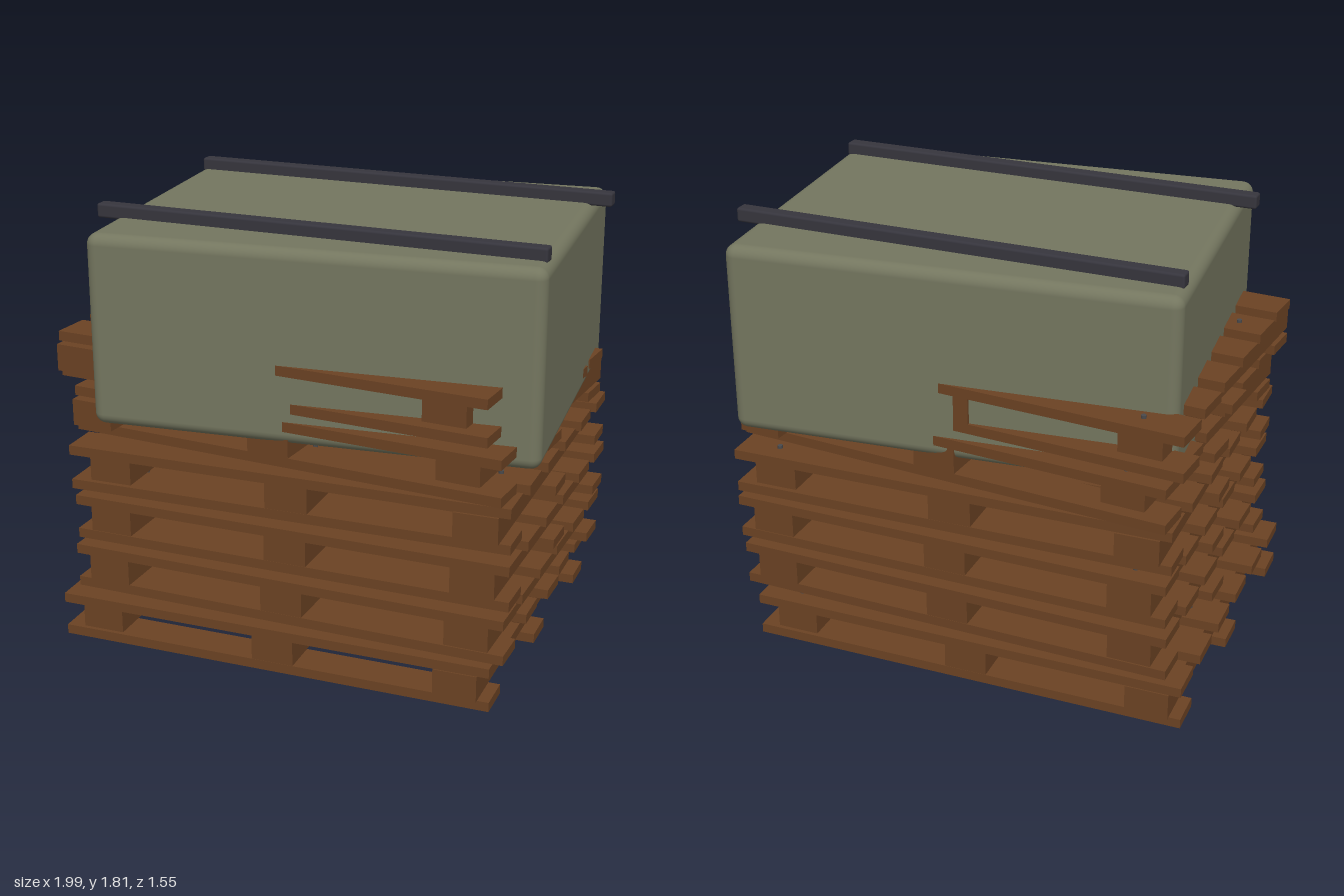
import * as THREE from 'three';
import { RoundedBoxGeometry } from 'three/addons/geometries/RoundedBoxGeometry.js';

const material = (name, color) => {
  const m = new THREE.MeshStandardMaterial({ color });
  m.name = name;
  return m;
};

export function createModel() {
  const wood = material('brown wood', 0x6b4223);
  const canvas = material('olive canvas', 0x74765f);
  const strapDark = material('dark strap', 0x36353d);
  const steel = material('nail steel', 0x4a4a4c);

  const model = new THREE.Group();
  model.name = 'palletStack';

  const add = (parent, name, geometry, mat, x, y, z, turn = 0) => {
    const mesh = new THREE.Mesh(geometry, mat);
    mesh.name = name;
    mesh.position.set(x, y, z);
    mesh.rotation.y = turn;
    parent.add(mesh);
  };

  const topBoard = new THREE.BoxGeometry(1.845, 0.04, 0.167);
  const bottomBoard = new THREE.BoxGeometry(1.845, 0.04, 0.157);
  const stringer = new THREE.BoxGeometry(0.178, 0.11, 1.38);
  const nail = new THREE.CylinderGeometry(0.011, 0.011, 0.012, 8);

  // One pallet: every plank is skewed about its own centre
  const pallet = (y, x, turn) => {
    const group = new THREE.Group();
    group.name = 'pallet';
    group.position.set(x, y, 0);
    for (const z of [-0.613, 0, 0.613]) add(group, 'bottomBoard', bottomBoard, wood, 0, 0.02, z, turn);
    for (const sx of [-0.773, 0, 0.773]) {
      add(group, 'stringer', stringer, wood, sx, 0.095, 0, turn);
      // Nail heads on every second board
      for (const z of [-0.617, -0.123, 0.37]) {
        add(group, 'nailHead', nail, steel,
          sx + z * Math.sin(turn), 0.196, z - sx * Math.sin(turn));
      }
    }
    for (let i = 0; i < 6; i++) {
      add(group, 'topBoard', topBoard, wood, 0, 0.17, (i - 2.5) * 0.247, turn);
    }
    model.add(group);
  };

  // Pallet stack: sideways shift and skew of each level
  [
    [-0.073, 0.021], [-0.013, -0.006], [0, 0.003],
    [-0.008, 0.026], [-0.014, -0.072], [-0.073, -0.07],
  ].forEach(([x, turn], i) => pallet(i * 0.2245, x, turn));

  // Covered load resting askew on the stack
  add(model, 'coveredLoad', new RoundedBoxGeometry(1.786, 0.772, 1.392, 4, 0.045), canvas,
    0.043, 1.379, 0, 0.096);

  // Two straps across the top
  for (const z of [-0.467, 0.465]) {
    add(model, 'strap', new RoundedBoxGeometry(1.845, 0.058, 0.06, 2, 0.01), strapDark, 0.043, 1.784, z);
  }

  return model;
}
